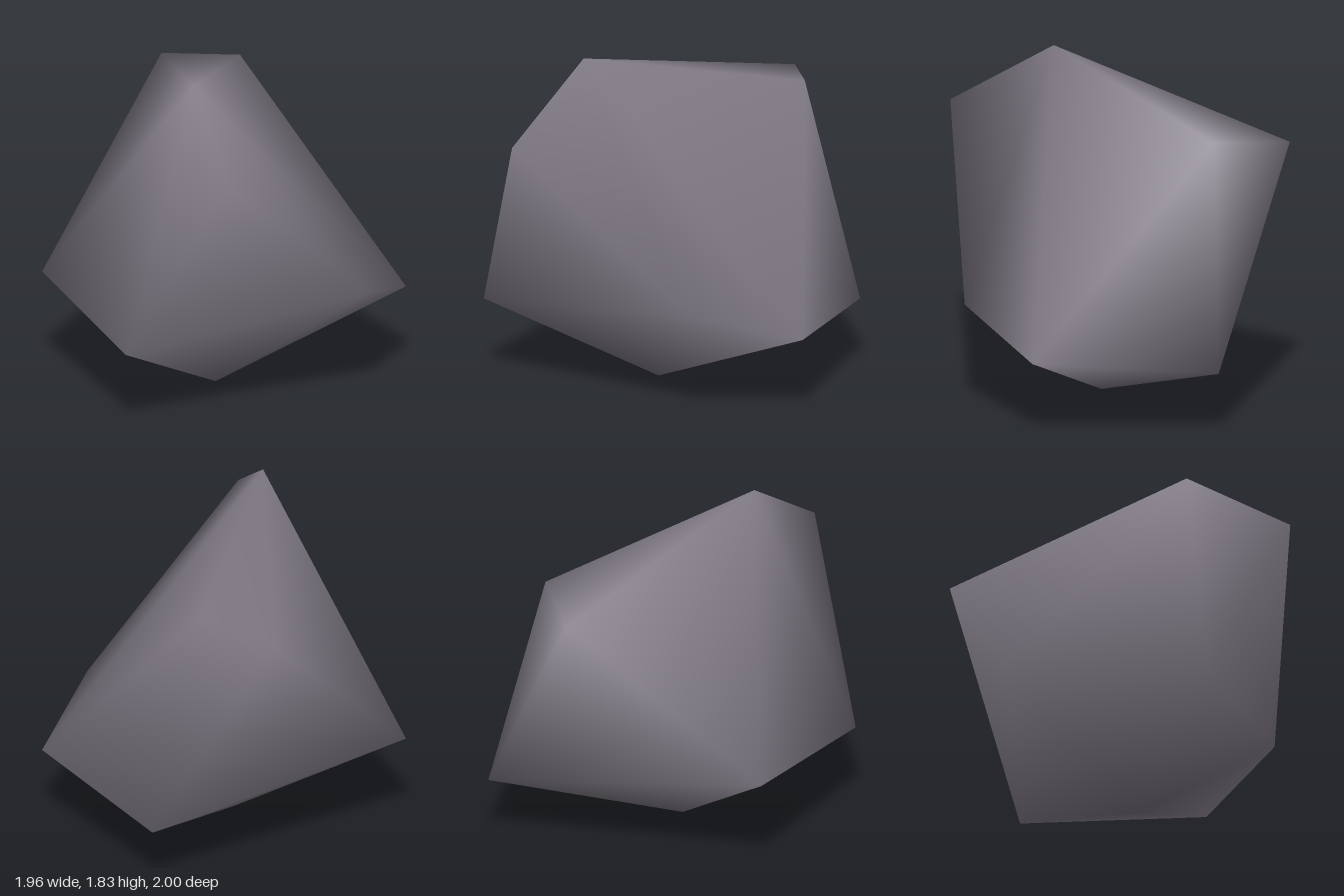
import * as THREE from 'three';
import { mergeVertices } from 'three/addons/utils/BufferGeometryUtils.js';
import { ConvexGeometry } from 'three/addons/geometries/ConvexGeometry.js';

// Corners of the boulder
const corners = [
  [-0.17, 1.83, 0.44],   // peak
  [0.0, 1.47, 1.0],      // upper front
  [0.09, 1.56, -0.8],    // upper back
  [-0.33, 1.5, -1.0],    // upper back, right
  [-0.54, 0.44, 0.84],   // lower front, right
  [-0.98, 0.55, -0.18],  // right flank
  [0.77, 0.62, 0.36],    // left flank, front
  [0.975, 0.44, -0.23],  // left flank, back
  [0.33, 0.36, -1.0],    // lower back
  [-0.05, 0.0, 0.04],    // foot
];

export function createModel() {
  const stone = new THREE.MeshStandardMaterial({ color: 0x857f8a });
  stone.name = 'greyStone';

  // Convex hull with shared corners, so the shading runs smoothly across all faces
  const hull = new ConvexGeometry(corners.map((c) => new THREE.Vector3(...c)));
  hull.deleteAttribute('normal');
  const geometry = mergeVertices(hull);
  geometry.computeVertexNormals();

  const rock = new THREE.Mesh(geometry, stone);
  rock.name = 'rock';

  const group = new THREE.Group();
  group.name = 'boulder';
  group.add(rock);
  return group;
}
